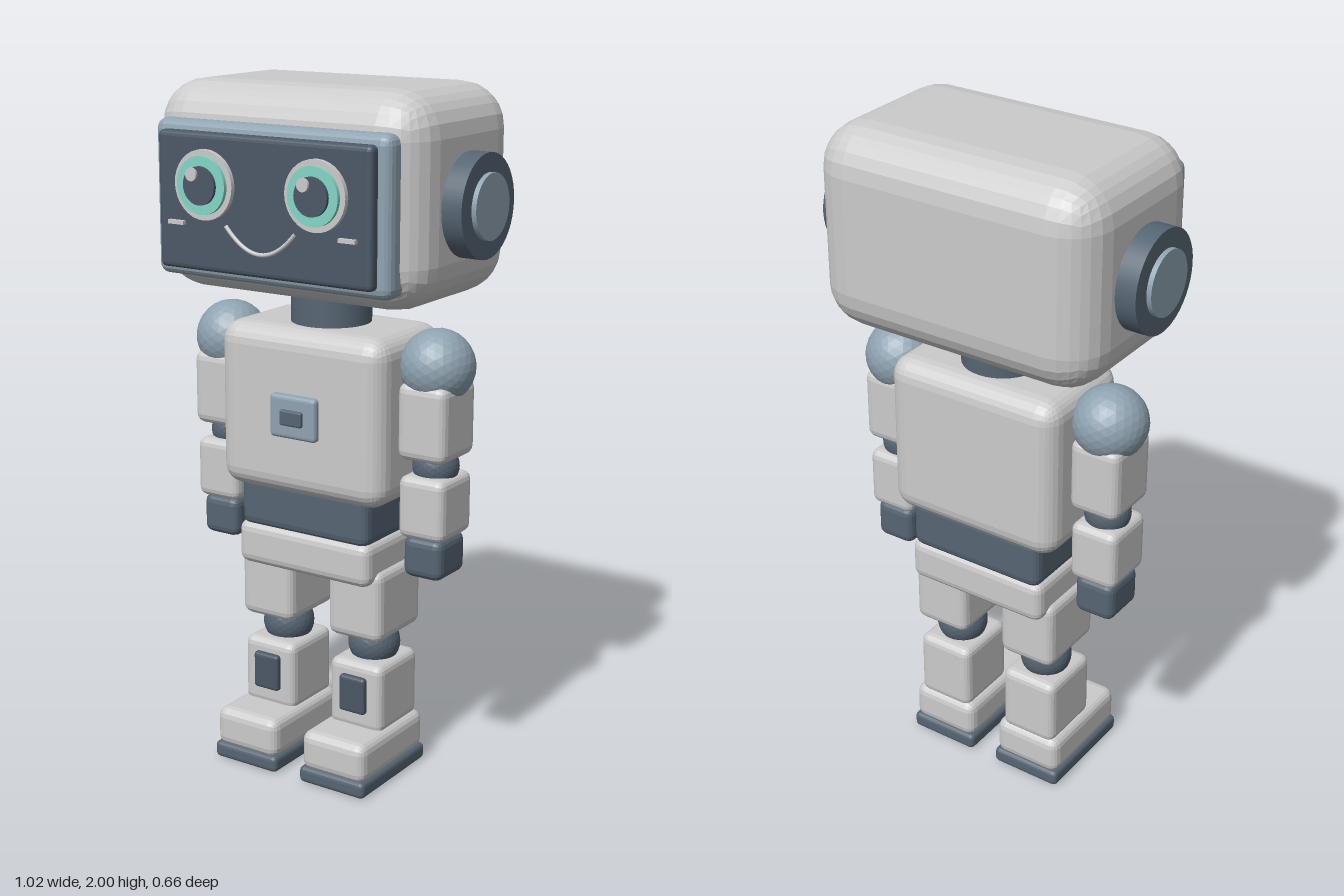
import * as THREE from 'three';
import { RoundedBoxGeometry } from 'three/addons/geometries/RoundedBoxGeometry.js';

const material = (name, color) => Object.assign(new THREE.MeshStandardMaterial({ color }), { name });

export function createModel() {
  const shell = material('pale shell', 0xcbcbcb);
  const slate = material('light slate', 0x8fa3b1);
  const dark = material('dark slate', 0x566573);
  const screenMat = material('screen', 0x4b5866);
  const teal = material('teal glow', 0x84d6c8);

  const Z = -0.05; // body axis
  const robot = new THREE.Group();
  robot.name = 'robot';

  const add = (parent, name, geometry, mat, x, y, z) => {
    const mesh = new THREE.Mesh(geometry, mat);
    mesh.name = name;
    mesh.position.set(x, y, z);
    parent.add(mesh);
    return mesh;
  };
  // Softly bevelled box with faceted bevels
  const box = (parent, name, mat, [w, h, d], [x, y, z], r = 0.025, seg = 2) => {
    const g = new RoundedBoxGeometry(w, h, d, seg, r);
    g.computeVertexNormals();
    return add(parent, name, g, mat, x, y, z);
  };
  // Faceted ball joint
  const ball = (parent, name, mat, r, x, y, z) => {
    const g = new THREE.IcosahedronGeometry(r, 4);
    g.computeVertexNormals();
    return add(parent, name, g, mat, x, y, z);
  };
  // Disc facing +z, from z0 to z1
  const disc = (parent, name, mat, r, x, y, z0, z1) =>
    add(parent, name, new THREE.CylinderGeometry(r, r, z1 - z0, 32).rotateX(Math.PI / 2),
      mat, x, y, (z0 + z1) / 2);
  const group = (name) => {
    const g = new THREE.Group();
    g.name = name;
    robot.add(g);
    return g;
  };

  // Head with framed screen
  const head = group('head');
  box(head, 'headShell', shell, [0.87, 0.58, 0.555], [0, 1.71, -0.052], 0.125, 3);
  box(head, 'screenFrame', slate, [0.76, 0.43, 0.1], [0, 1.685, 0.207], 0.03);
  box(head, 'screen', screenMat, [0.69, 0.375, 0.07], [0, 1.685, 0.251], 0.015);

  // Smile
  const smile = new THREE.QuadraticBezierCurve3(
    new THREE.Vector3(-0.113, 1.63, 0.29),
    new THREE.Vector3(0, 1.495, 0.29),
    new THREE.Vector3(0.113, 1.63, 0.29));
  add(head, 'smile', new THREE.TubeGeometry(smile, 24, 0.006, 8), shell, 0, 0, 0);

  for (const s of [-1, 1]) {
    // Eyes
    const x = s * 0.18, y = 1.735;
    disc(head, 'eyeRim', shell, 0.095, x, y, 0.28, 0.3);
    disc(head, 'iris', teal, 0.079, x, y, 0.295, 0.311);
    disc(head, 'pupil', screenMat, 0.052, x, y, 0.305, 0.32);
    disc(head, 'eyeGlint', shell, 0.018, x - 0.02, y + 0.03, 0.315, 0.328);
    add(head, 'cheekMark', new THREE.BoxGeometry(0.052, 0.011, 0.016), shell, s * 0.277, 1.627, 0.291);

    // Ear pods
    add(head, 'earPod', new THREE.CylinderGeometry(0.142, 0.142, 0.09, 40).rotateZ(Math.PI / 2),
      dark, s * 0.45, 1.692, Z);
    add(head, 'earCap', new THREE.CylinderGeometry(0.09, 0.09, 0.03, 40).rotateZ(Math.PI / 2),
      slate, s * 0.494, 1.692, Z);
  }

  // Torso
  const torso = group('torso');
  add(torso, 'neck', new THREE.CylinderGeometry(0.115, 0.115, 0.16, 32), dark, 0, 1.375, Z);
  box(torso, 'chest', shell, [0.55, 0.485, 0.355], [0, 1.085, -0.048], 0.06, 3);
  box(torso, 'chestPlate', slate, [0.155, 0.125, 0.04], [0, 1.083, 0.13], 0.012);
  box(torso, 'chestButton', dark, [0.074, 0.045, 0.03], [0, 1.083, 0.145], 0.006);
  box(torso, 'waist', dark, [0.435, 0.16, 0.305], [0, 0.8, Z], 0.03);
  box(torso, 'pelvis', shell, [0.45, 0.13, 0.31], [0, 0.67, -0.047], 0.03);

  for (const s of [-1, 1]) {
    // Arms
    const arm = group(s > 0 ? 'leftArm' : 'rightArm');
    const ax = s * 0.35;
    ball(arm, 'shoulder', slate, 0.106, ax, 1.24, Z);
    box(arm, 'upperArm', shell, [0.153, 0.22, 0.185], [ax, 1.093, Z + 0.003], 0.028);
    ball(arm, 'elbow', dark, 0.066, ax, 0.957, Z);
    box(arm, 'forearm', shell, [0.146, 0.18, 0.173], [ax, 0.847, Z + 0.003], 0.025);
    box(arm, 'hand', dark, [0.124, 0.12, 0.148], [ax, 0.7, Z + 0.003], 0.025);

    // Legs
    const leg = group(s > 0 ? 'leftLeg' : 'rightLeg');
    const lx = s * 0.152;
    box(leg, 'thigh', shell, [0.18, 0.215, 0.235], [lx, 0.537, Z + 0.002], 0.028);
    ball(leg, 'knee', dark, 0.076, lx, 0.39, Z);
    box(leg, 'shin', shell, [0.178, 0.21, 0.21], [lx, 0.25, Z + 0.003], 0.025);
    box(leg, 'shinPanel', screenMat, [0.087, 0.112, 0.03], [lx, 0.26, 0.06], 0.01);
    box(leg, 'foot', shell, [0.215, 0.12, 0.34], [lx, 0.1, 0.01], 0.03);
    box(leg, 'sole', dark, [0.222, 0.05, 0.346], [lx, 0.025, 0.01], 0.015);
  }
  return robot;
}
